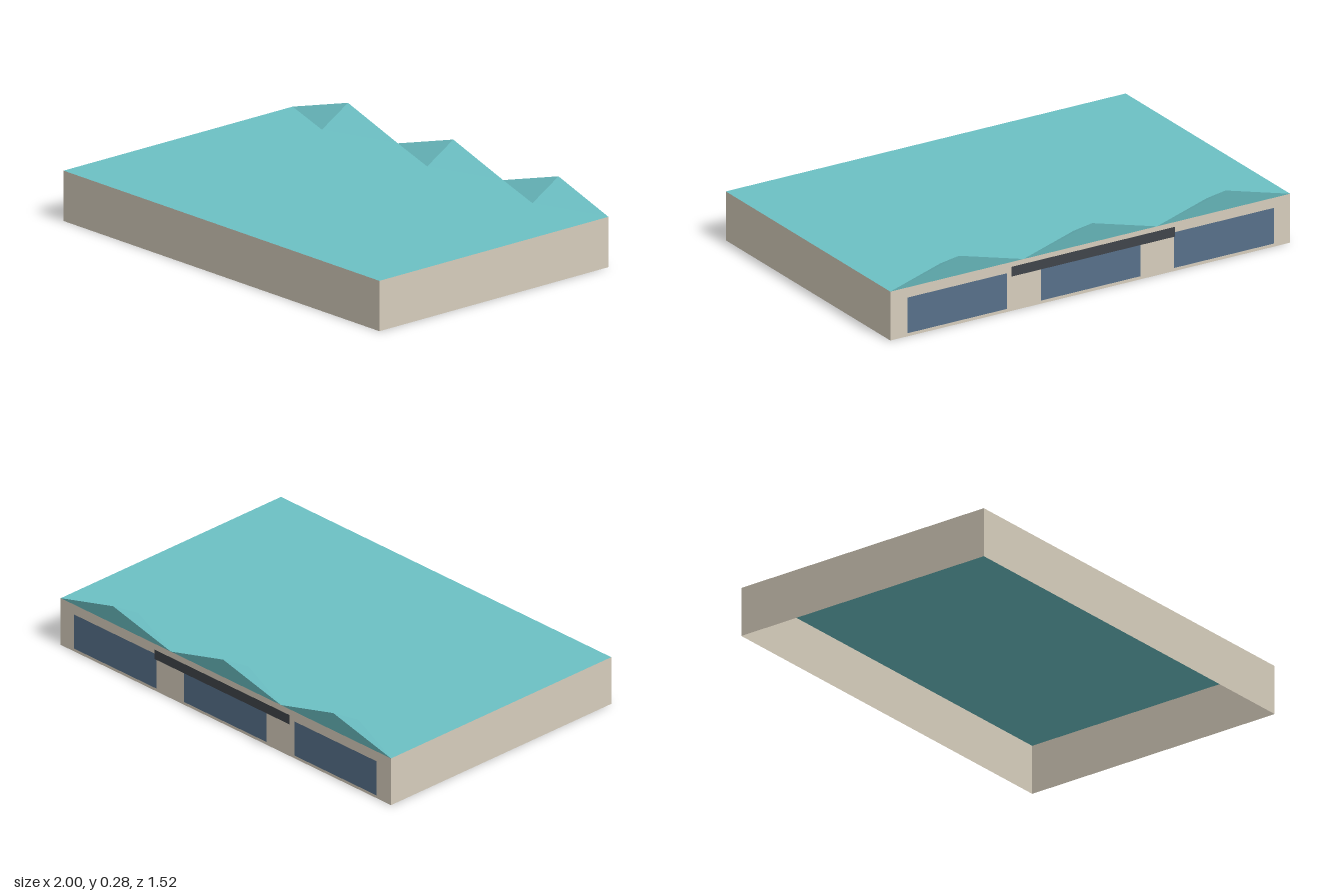
import * as THREE from 'three';

const LENGTH = 1.787, DEPTH = 1.16, HEIGHT = 0.2;
const BAY = LENGTH / 3;
const BACK = -DEPTH / 2;

function material(color) {
  return new THREE.MeshStandardMaterial({ color, side: THREE.DoubleSide, flatShading: true });
}

export function createModel() {
  const model = new THREE.Group();
  model.name = 'terminalBuilding';

  const building = new THREE.Group();
  building.name = 'building';
  building.rotation.y = -THREE.MathUtils.degToRad(12.6);
  model.add(building);

  const wallMat = material(0xd6cdbc);
  const roofMat = material(0x6cc0c4);
  const windowMat = material(0x57708a);
  const signMat = material(0x40444a);

  function panel(name, width, height, mat, x, y, z, turn) {
    const mesh = new THREE.Mesh(new THREE.PlaneGeometry(width, height), mat);
    mesh.name = name;
    mesh.position.set(x, y, z);
    mesh.rotation.y = turn;
    building.add(mesh);
    return mesh;
  }

  // Four thin walls around an open-bottomed shell
  panel('frontWall', LENGTH, HEIGHT, wallMat, 0, HEIGHT / 2, DEPTH / 2, 0);
  panel('backWall', LENGTH, HEIGHT, wallMat, 0, HEIGHT / 2, BACK, Math.PI);
  panel('leftWall', DEPTH, HEIGHT, wallMat, LENGTH / 2, HEIGHT / 2, 0, Math.PI / 2);
  panel('rightWall', DEPTH, HEIGHT, wallMat, -LENGTH / 2, HEIGHT / 2, 0, -Math.PI / 2);

  // Flat roof
  panel('roof', LENGTH, DEPTH, roofMat, 0, HEIGHT, 0, 0).rotation.x = -Math.PI / 2;

  // Pointed gable: base corners, overhanging peak and the inner end of the ridge
  const half = BAY / 2;
  const left = [-half, HEIGHT, BACK], right = [half, HEIGHT, BACK];
  const peak = [0, 0.285, BACK - 0.014], inner = [0, 0.207, BACK + 0.118];
  const gableGeometry = new THREE.BufferGeometry();
  gableGeometry.setAttribute('position', new THREE.Float32BufferAttribute([
    left, inner, peak,
    inner, right, peak,
    right, left, peak,
    left, right, inner,
  ].flat(), 3));
  gableGeometry.computeVertexNormals();

  // Three bays, each with a gable and a wide window
  for (let i = -1; i <= 1; i++) {
    const gable = new THREE.Mesh(gableGeometry, roofMat);
    gable.name = 'roofGable';
    gable.position.x = i * BAY;
    building.add(gable);
    panel('window', 0.445, 0.146, windowMat, i * BAY, 0.087, BACK - 0.003, Math.PI);
  }

  // Blank sign board standing just off the back wall
  panel('signBoard', 0.73, 0.04, signMat, 0, 0.17, BACK - 0.02, Math.PI);

  return model;
}
